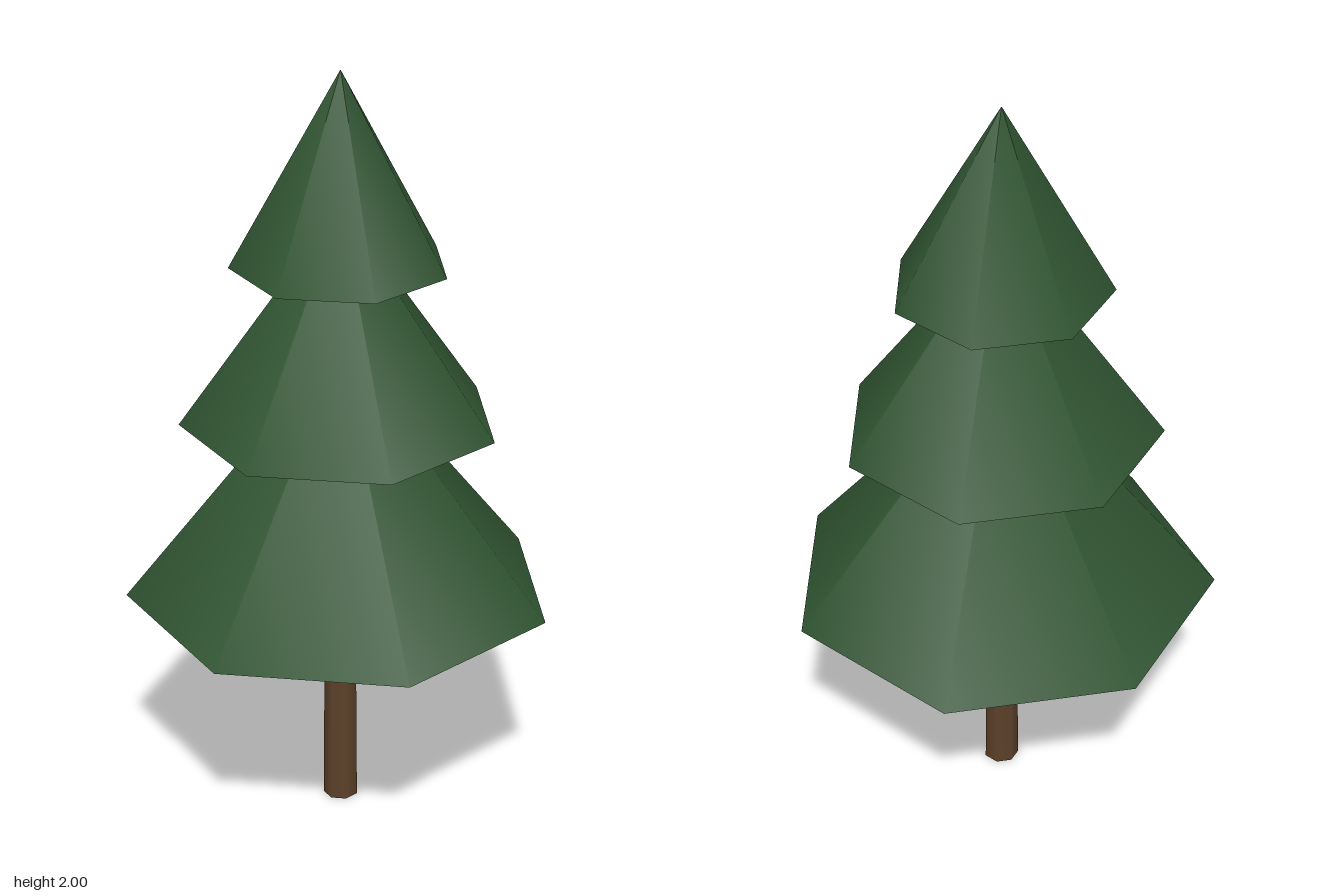
import * as THREE from 'three';

const SIDES = 7;
const CENTRE_Z = -0.027; // heptagon with one corner facing the front

export function createModel() {
  const tree = new THREE.Group();
  tree.name = 'pineTree';

  const needleGreen = new THREE.MeshStandardMaterial({ color: 0x2f5331 });
  needleGreen.name = 'needleGreen';
  const barkBrown = new THREE.MeshStandardMaterial({ color: 0x5c4029 });
  barkBrown.name = 'barkBrown';

  const add = (name, geometry, material, bottom, height) => {
    const mesh = new THREE.Mesh(geometry, material);
    mesh.name = name;
    mesh.position.set(0, bottom + height / 2, CENTRE_Z);
    tree.add(mesh);
  };

  // Slightly tapered trunk
  add('trunk', new THREE.CylinderGeometry(0.041, 0.046, 0.64, SIDES), barkBrown, 0, 0.64);

  // Overlapping smooth-shaded cones: radius, base height, apex height
  const tiers = [
    ['lowerBranches', 0.554, 0.615, 1.3],
    ['middleBranches', 0.408, 1.09, 1.66],
    ['upperBranches', 0.277, 1.505, 2],
  ];
  for (const [name, radius, base, apex] of tiers) {
    add(name, new THREE.ConeGeometry(radius, apex - base, SIDES), needleGreen, base, apex - base);
  }

  return tree;
}
